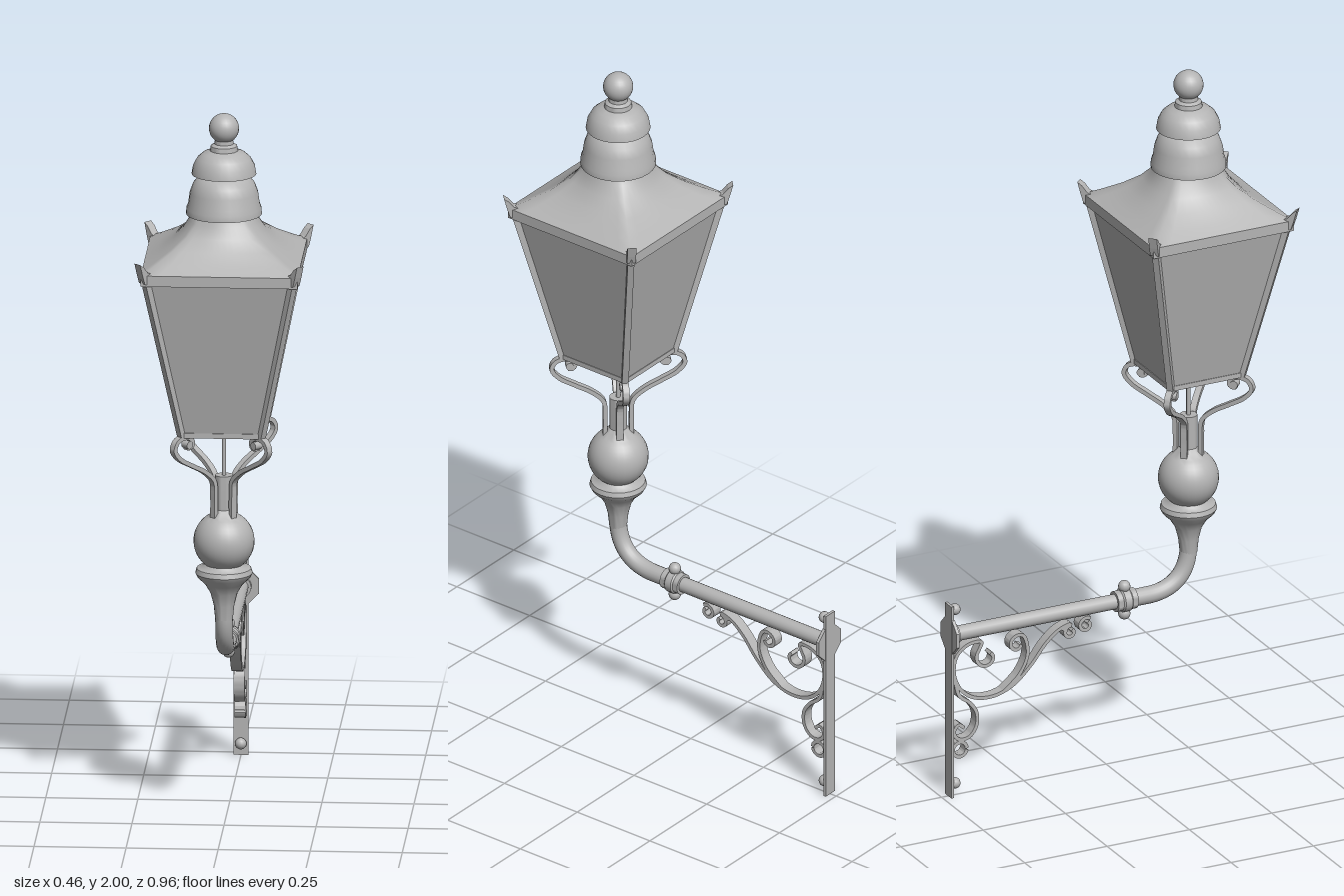
import * as THREE from 'three';
import { toCreasedNormals } from 'three/addons/utils/BufferGeometryUtils.js';

const LAMP_Z = 0.25, PIPE_Y = 0.475;
const metal = new THREE.MeshStandardMaterial({ color: 0xb4b4b4, side: THREE.DoubleSide });
metal.name = 'grey metal';

function add(parent, name, geometry, x = 0, y = 0, z = 0) {
  const mesh = new THREE.Mesh(geometry, metal);
  mesh.name = name;
  mesh.position.set(x, y, z);
  parent.add(mesh);
  return mesh;
}

// Turned part from [radius, y] pairs, listed bottom to top
const turned = (profile, sides = 28) => toCreasedNormals(
  new THREE.LatheGeometry(profile.map(([r, y]) => new THREE.Vector2(r, y)), sides), 0.7);

// Square bar between two points
function bar(a, b, width) {
  const from = new THREE.Vector3(...a), to = new THREE.Vector3(...b);
  const geo = new THREE.BoxGeometry(width, width, from.distanceTo(to));
  geo.lookAt(to.clone().sub(from));
  const mid = from.add(to).multiplyScalar(0.5);
  return geo.translate(mid.x, mid.y, mid.z);
}

// Flat strip that follows a curve in the xy plane
function strip(points, thick, width) {
  const curve = new THREE.CatmullRomCurve3(points.map(([x, y]) => new THREE.Vector3(x, y, 0)));
  const n = points.length * 5, left = [], right = [];
  for (let i = 0; i <= n; i++) {
    const p = curve.getPointAt(i / n), t = curve.getTangentAt(i / n);
    const dx = -t.y * thick / 2, dy = t.x * thick / 2;
    left.push(new THREE.Vector2(p.x + dx, p.y + dy));
    right.unshift(new THREE.Vector2(p.x - dx, p.y - dy));
  }
  const geo = new THREE.ExtrudeGeometry(new THREE.Shape([...left, ...right]), { depth: width, bevelEnabled: false });
  geo.translate(0, 0, -width / 2);
  return toCreasedNormals(geo, 0.7);
}

// Points of a spiral that tightens from radius r0 to r1
function spiral(cx, cy, r0, r1, start, sweep, n = 12) {
  return Array.from({ length: n + 1 }, (_, i) => {
    const a = start + sweep * i / n, r = r0 + (r1 - r0) * i / n;
    return [cx + r * Math.cos(a), cy + r * Math.sin(a)];
  });
}

// Skin over rings [y, halfWidth, roundness], square at 0 and circular at 1
function squareToRound(rings, n, crease) {
  const pos = [], index = [];
  rings.forEach(([y, half, round]) => {
    for (let i = 0; i <= n; i++) {
      const a = i / n * Math.PI * 2, c = Math.cos(a), s = Math.sin(a);
      const r = half * (round + (1 - round) / Math.max(Math.abs(c), Math.abs(s)));
      pos.push(r * s, y, r * c);
    }
  });
  for (let j = 0; j < rings.length - 1; j++) for (let i = 0; i < n; i++) {
    const a = j * (n + 1) + i, b = a + n + 1;
    index.push(a, a + 1, b, a + 1, b + 1, b);
  }
  const geo = new THREE.BufferGeometry();
  geo.setAttribute('position', new THREE.Float32BufferAttribute(pos, 3));
  geo.setIndex(index);
  return toCreasedNormals(geo, crease);
}

function buildLantern() {
  const g = new THREE.Group();
  g.name = 'lantern';
  g.position.z = LAMP_Z;

  add(g, 'panes', squareToRound([[1.12, 0.11, 0], [1.58, 0.2, 0]], 8, 0.5));
  add(g, 'roof', squareToRound([[1.597, 0.213, 0], [1.617, 0.18, 0.06], [1.645, 0.143, 0.25],
    [1.675, 0.114, 0.55], [1.705, 0.096, 0.85], [1.735, 0.086, 1]], 48, 1.3));

  // Stacked vents and ball finial
  add(g, 'lowerVent', turned([[0.08, 1.72], [0.103, 1.72], [0.102, 1.737], [0.097, 1.75], [0.093, 1.78],
    [0.084, 1.805], [0.07, 1.822], [0.06, 1.826], [0.06, 1.84]]));
  add(g, 'upperVent', turned([[0.06, 1.832], [0.088, 1.832], [0.084, 1.855], [0.073, 1.876], [0.057, 1.89],
    [0.038, 1.897], [0.036, 1.91], [0.026, 1.916], [0.024, 1.935]]));
  add(g, 'finialBall', new THREE.SphereGeometry(0.041, 24, 16), 0, 1.959, 0);

  for (let k = 0; k < 4; k++) {
    const side = new THREE.Group();
    side.name = 'lanternSide';
    side.rotation.y = k * Math.PI / 2;
    g.add(side);
    // Frame rails and one corner post
    add(side, 'topRail', new THREE.BoxGeometry(0.424, 0.03, 0.02), 0, 1.583, 0.203);
    add(side, 'bottomRail', new THREE.BoxGeometry(0.228, 0.014, 0.024), 0, 1.124, 0.102);
    add(side, 'cornerPost', bar([0.108, 1.122, 0.108], [0.2, 1.58, 0.2], 0.018));

    // Upturned corner ear, lying in the diagonal plane
    const ear = new THREE.Shape([[0.262, 1.598], [0.275, 1.568], [0.296, 1.575], [0.304, 1.6],
      [0.313, 1.633], [0.3, 1.624], [0.285, 1.606]].map(p => new THREE.Vector2(...p)));
    const earGeo = new THREE.ExtrudeGeometry(ear, { depth: 0.024, bevelEnabled: false });
    earGeo.translate(0, 0, -0.012);
    add(side, 'cornerEar', earGeo).rotation.y = -Math.PI / 4;

    // Curled support strap below the corner
    const strap = strip([[0.036, 0.87], [0.036, 0.93], [0.04, 0.975], [0.07, 1.005], [0.118, 1.032],
      [0.162, 1.058], [0.182, 1.085], [0.172, 1.108], [0.15, 1.116], [0.128, 1.112],
      [0.118, 1.098], [0.124, 1.086], [0.138, 1.086]], 0.012, 0.018);
    add(side, 'supportStrap', strap).rotation.y = -Math.PI / 4;
    const curl = add(side, 'strapCurl', new THREE.CylinderGeometry(0.011, 0.011, 0.024, 14), 0.094, 1.094, 0.094);
    curl.rotation.set(0, -Math.PI / 4, 0);
    curl.rotateX(Math.PI / 2);
  }

  add(g, 'centreRod', new THREE.CylinderGeometry(0.006, 0.006, 0.17, 12), 0, 1.05, 0);

  // Neck, ball and bell under the lantern
  const ball = spiral(0, 0.8, 0.083, 0.083, -0.9, 1.95, 14);
  add(g, 'neckAndBall', turned([[0.024, 0.58], [0.028, 0.62], [0.037, 0.655], [0.052, 0.68], [0.072, 0.699],
    [0.078, 0.711], [0.074, 0.724], [0.055, 0.73], ...ball, [0.034, 0.88], [0.024, 0.89], [0.024, 0.985], [0, 0.985]]));
  return g;
}

function buildArm() {
  const g = new THREE.Group();
  g.name = 'wallArm';

  // Bent pipe reaching out from the wall
  const path = new THREE.CurvePath();
  const v = (y, z) => new THREE.Vector3(0, y, z);
  path.add(new THREE.LineCurve3(v(0.62, LAMP_Z), v(0.6, LAMP_Z)));
  path.add(new THREE.CubicBezierCurve3(v(0.6, LAMP_Z), v(0.52, LAMP_Z), v(PIPE_Y, 0.205), v(PIPE_Y, 0.125)));
  path.add(new THREE.LineCurve3(v(PIPE_Y, 0.125), v(PIPE_Y, 0.04)));
  add(g, 'bentPipe', new THREE.TubeGeometry(path, 40, 0.024, 18));
  const along = (name, geo, z) => { add(g, name, geo, 0, PIPE_Y, z).rotation.x = Math.PI / 2; };
  along('straightPipe', new THREE.CylinderGeometry(0.021, 0.021, 0.53, 20), -0.21);

  // Pipe coupling with a knob above and below
  along('coupling', turned([[0.02, -0.03], [0.029, -0.03], [0.029, -0.014], [0.033, -0.01], [0.033, 0.01],
    [0.029, 0.014], [0.029, 0.03], [0.02, 0.03]], 20), 0.055);
  for (const s of [-1, 1]) add(g, 'couplingKnob', new THREE.SphereGeometry(0.017, 14, 10), 0, PIPE_Y + s * 0.04, 0.055);

  // Wall plate, flange and bolts
  add(g, 'wallPlate', new THREE.BoxGeometry(0.04, 0.565, 0.008), 0, 0.2825, -0.476);
  along('wallFlange', toCreasedNormals(new THREE.CylinderGeometry(0.053, 0.053, 0.009, 8).rotateY(Math.PI / 8), 0.3), -0.474);
  along('pipeSocket', new THREE.CylinderGeometry(0.029, 0.029, 0.016, 20), -0.464);
  for (const y of [0.035, 0.548]) add(g, 'bolt', new THREE.SphereGeometry(0.016, 14, 10), 0, y, -0.46);

  // Scrollwork in the yz plane, points given as [z, y]
  const P = Math.PI;
  const scrolls = {
    mainScroll: [...spiral(-0.115, 0.418, 0.008, 0.02, P * 2.3, -P * 1.8, 10), [-0.115, 0.442], [-0.15, 0.432],
      [-0.19, 0.4], [-0.235, 0.345], [-0.29, 0.296], [-0.35, 0.275], [-0.41, 0.283], [-0.45, 0.315],
      [-0.469, 0.365], [-0.46, 0.415], [-0.425, 0.442], [-0.385, 0.442],
      ...spiral(-0.368, 0.394, 0.036, 0.014, P * 0.75, P * 1.5, 12)],
    frontCurl: spiral(-0.068, 0.43, 0.022, 0.01, P * 0.3, P * 2, 12),
    innerCurl: [[-0.318, 0.283], [-0.27, 0.325], [-0.246, 0.375], [-0.25, 0.42],
      ...spiral(-0.276, 0.414, 0.028, 0.011, P * 0.3, P * 1.6, 12)],
    lowerScroll: [[-0.467, 0.345], [-0.452, 0.295], [-0.42, 0.268], [-0.4, 0.235], [-0.402, 0.195], [-0.425, 0.168],
      [-0.455, 0.168], [-0.469, 0.19], [-0.455, 0.21], [-0.438, 0.198]],
    lowestCurl: spiral(-0.451, 0.137, 0.021, 0.021, 0, P * 1.95, 12),
  };
  for (const [name, points] of Object.entries(scrolls))
    add(g, name, strip(points, 0.01, 0.03)).rotation.y = -P / 2;
  return g;
}

export function createModel() {
  const model = new THREE.Group();
  model.name = 'wallLantern';
  model.add(buildLantern(), buildArm());
  return model;
}
